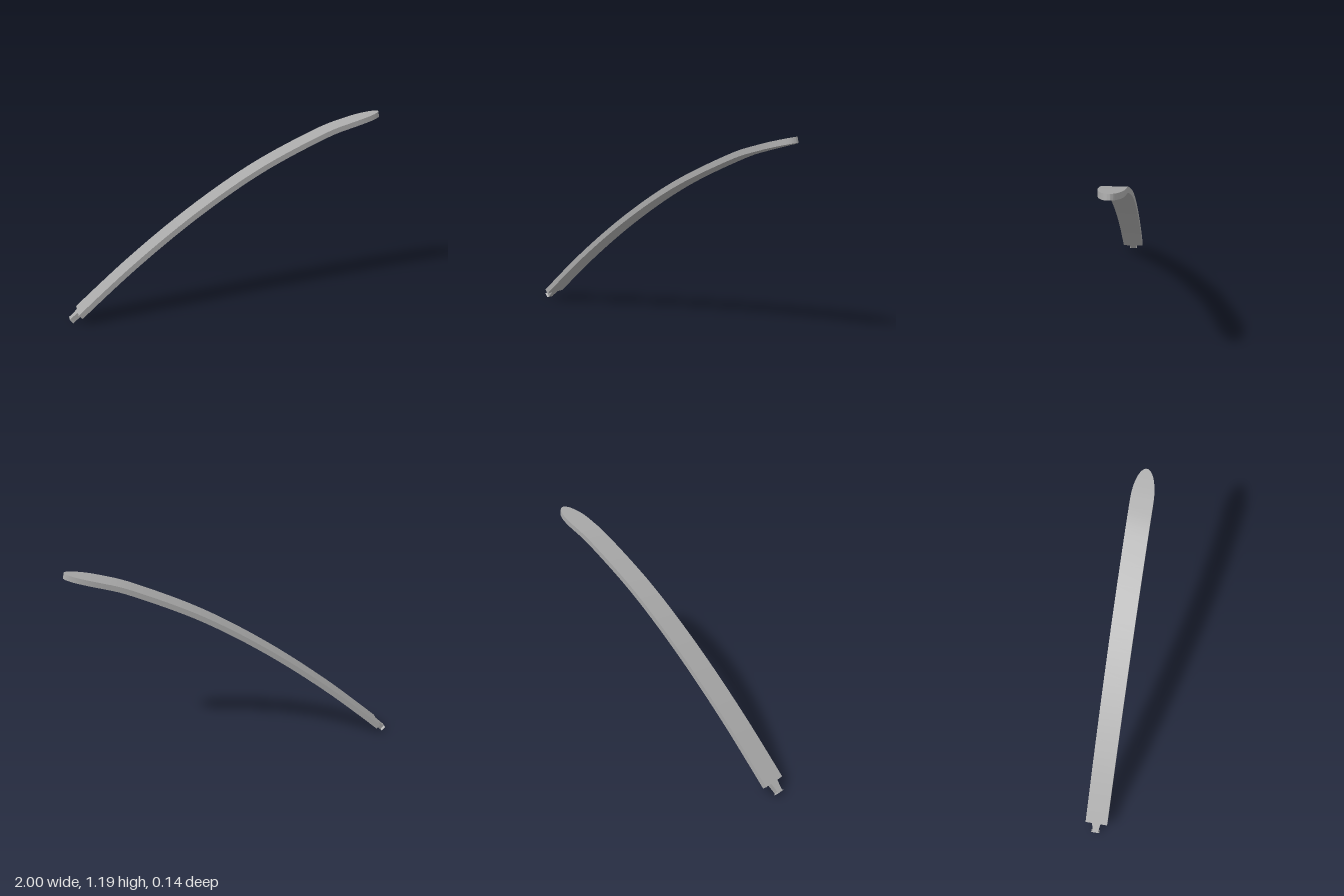
import * as THREE from 'three';
import { toCreasedNormals } from 'three/addons/utils/BufferGeometryUtils.js';

const HALF_THICK = 0.0165;
const HALF_WIDTH = 0.07;
const SHOULDER = 0.029; // where the tang meets the slat, as a fraction of length
const TIP = 0.915;      // where the rounded tip begins

// Bent centre line, from the tang up to the tip
const spine = new THREE.SplineCurve([
  [-0.989, 0.013], [-0.6, 0.343], [-0.2, 0.639], [0.2, 0.883], [0.6, 1.065], [0.8, 1.128], [0.996, 1.174],
].map(([x, y]) => new THREE.Vector2(x, y)));

// Sweeps a flat rectangular section along the spine; stations are [fraction, half width]
function sweep(stations) {
  const rings = stations.map(([u, w]) => {
    const p = spine.getPointAt(u);
    const t = spine.getTangentAt(u);
    const nx = -t.y * HALF_THICK, ny = t.x * HALF_THICK;
    return [
      [p.x + nx, p.y + ny, w], [p.x + nx, p.y + ny, -w],
      [p.x - nx, p.y - ny, -w], [p.x - nx, p.y - ny, w],
    ];
  });
  const pos = [];
  const quad = (a, b, c, d) => pos.push(...a, ...b, ...c, ...a, ...c, ...d);
  for (let i = 0; i < rings.length - 1; i++) {
    const r = rings[i], s = rings[i + 1];
    for (let k = 0; k < 4; k++) {
      const n = (k + 1) % 4;
      quad(r[k], s[k], s[n], r[n]);
    }
  }
  const e = rings[rings.length - 1];
  quad(...rings[0]);
  quad(e[3], e[2], e[1], e[0]);
  const geo = new THREE.BufferGeometry();
  geo.setAttribute('position', new THREE.Float32BufferAttribute(pos, 3));
  return toCreasedNormals(geo, 0.6);
}

export function createModel() {
  const group = new THREE.Group();
  const grey = new THREE.MeshStandardMaterial({ color: 0xa8a8a8 });
  grey.name = 'plain grey';

  // Slat with constant width, closing in a half ellipse
  const slat = [];
  for (let i = 0; i <= 48; i++) slat.push([SHOULDER + (TIP - SHOULDER) * i / 48, HALF_WIDTH]);
  for (let i = 1; i <= 24; i++) {
    const a = (i / 24) * (Math.PI / 2 - 0.03);
    slat.push([TIP + (1 - TIP) * Math.sin(a), HALF_WIDTH * Math.cos(a)]);
  }

  // Narrow tang with rounded end corners
  const tang = [];
  for (let i = 0; i <= 6; i++) {
    const a = (i / 6) * Math.PI / 2;
    tang.push([0.004 * (1 - Math.sin(a)), 0.027 - 0.009 * (1 - Math.cos(Math.PI / 2 - a))]);
  }
  tang.reverse();
  tang.sort((a, b) => a[0] - b[0]);
  tang.push([SHOULDER, 0.027]);

  for (const [name, stations] of [['slat', slat], ['tang', tang]]) {
    const mesh = new THREE.Mesh(sweep(stations), grey);
    mesh.name = name;
    group.add(mesh);
  }
  return group;
}
